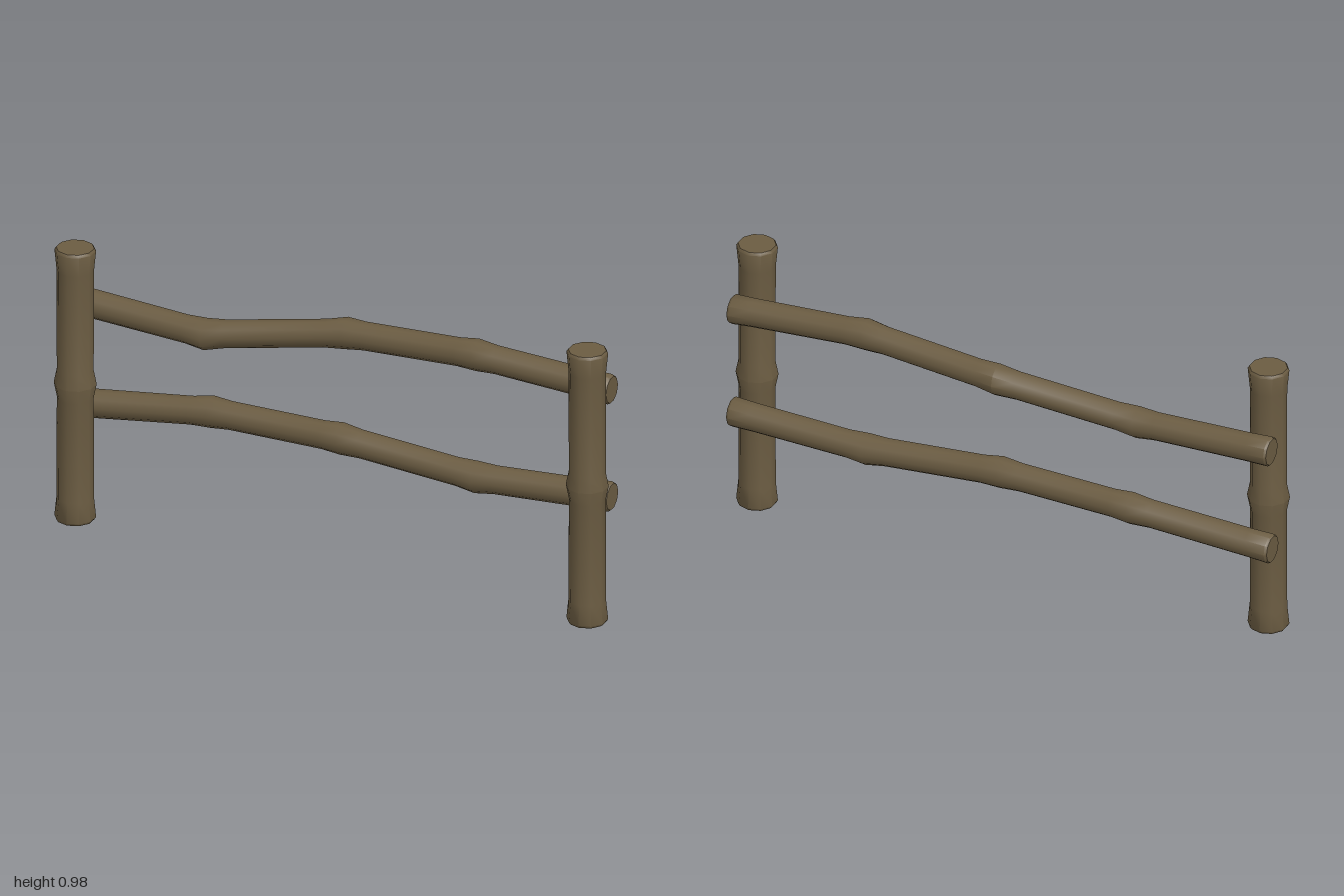
import * as THREE from 'three';
import { toCreasedNormals } from 'three/addons/utils/BufferGeometryUtils.js';

const SIDES = 10;

// Turned log along +y from [radius, height] pairs
function log(profile) {
  return new THREE.LatheGeometry(profile.map(([r, y]) => new THREE.Vector2(r, y)), SIDES);
}

// Log along x, bent so that its axis follows the knots [x, y, z]
function bentRail(knots) {
  const first = knots[0][0];
  const last = knots[knots.length - 1][0];
  const profile = [[0, first], [0.046, first], [0.051, first + 0.008], [0.049, first + 0.08]];
  for (const [x] of knots.slice(1, -1)) {
    profile.push([0.048, x - 0.07], [0.054, x], [0.048, x + 0.07]);
  }
  profile.push([0.049, last - 0.08], [0.051, last - 0.008], [0.046, last], [0, last]);

  const geometry = log(profile).rotateZ(-Math.PI / 2);
  const pos = geometry.attributes.position;
  for (let i = 0; i < pos.count; i++) {
    const x = pos.getX(i);
    let k = 0;
    while (k < knots.length - 2 && x > knots[k + 1][0]) k++;
    const [a, b] = [knots[k], knots[k + 1]];
    const t = (x - a[0]) / (b[0] - a[0]);
    pos.setY(i, pos.getY(i) + THREE.MathUtils.lerp(a[1], b[1], t));
    pos.setZ(i, pos.getZ(i) + THREE.MathUtils.lerp(a[2], b[2], t));
  }
  return geometry;
}

export function createModel() {
  const group = new THREE.Group();
  const wood = new THREE.MeshStandardMaterial({ color: 0x6b5c42 });
  wood.name = 'brown wood';

  const add = (name, geometry, x = 0, z = 0) => {
    const mesh = new THREE.Mesh(toCreasedNormals(geometry, 0.72), wood);
    mesh.name = name;
    mesh.position.set(x, 0, z);
    group.add(mesh);
  };

  // Upright posts with flared ends and a knuckle at mid height
  const postProfile = [
    [0, 0], [0.063, 0], [0.069, 0.009], [0.062, 0.08], [0.061, 0.44], [0.071, 0.49],
    [0.061, 0.54], [0.062, 0.9], [0.069, 0.971], [0.063, 0.98], [0, 0.98],
  ];
  add('leftPost', log(postProfile), 0.928, 0.069);
  add('rightPost', log(postProfile), -0.928, 0.069);

  // Crooked rails behind the posts
  add('upperRail', bentRail([
    [-0.995, 0.735, -0.048], [-0.5, 0.712, -0.026], [-0.02, 0.786, -0.087],
    [0.47, 0.818, -0.056], [0.96, 0.79, -0.053],
  ]));
  add('lowerRail', bentRail([
    [-0.995, 0.362, -0.042], [-0.5, 0.411, -0.074], [-0.02, 0.417, -0.056],
    [0.47, 0.378, -0.05], [0.96, 0.402, -0.055],
  ]));
  return group;
}
